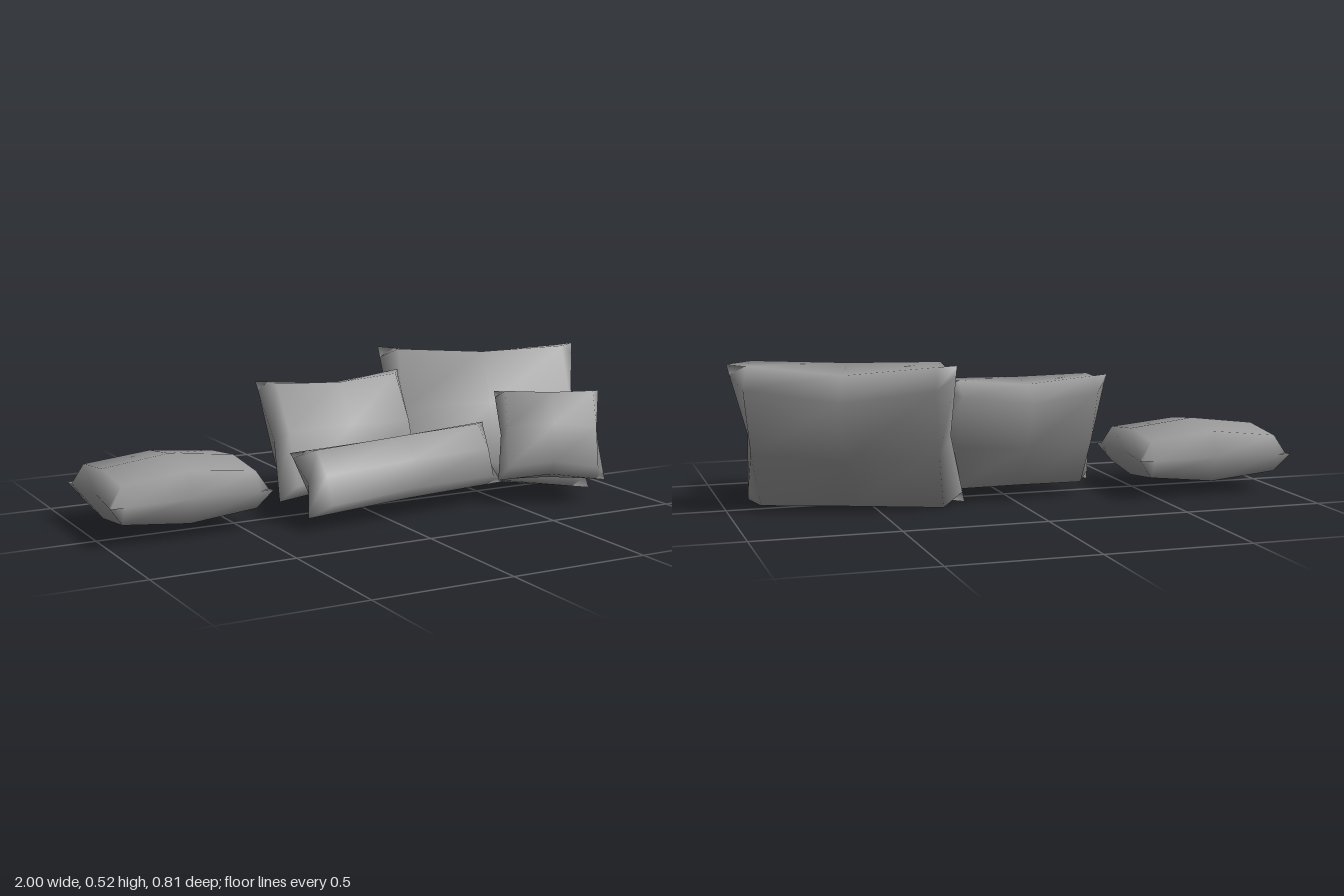
import * as THREE from 'three';
import { mergeGeometries, mergeVertices } from 'three/addons/utils/BufferGeometryUtils.js';

// One face of a pillow: a 4 x 4 grid, puffed in the middle, its seam drawn in
// between the corners (pinch: how far the long edges draw in)
function pillowFace(halfW, halfH, puff, pinch, flip) {
  const face = new THREE.PlaneGeometry(2, 2, 4, 4);
  const pos = face.attributes.position;
  for (let i = 0; i < pos.count; i++) {
    const u = Math.round(pos.getX(i) * 2); // -2..2
    const v = Math.round(pos.getY(i) * 2);
    const au = Math.abs(u), av = Math.abs(v);
    let x = [0, 0.83, 1][au];
    let y = [0, 0.85, 1][av];
    // the seam runs straight from each corner to the middle of the edge
    if (au === 2) x -= 0.09 * [1, 0.15, 0][av];
    if (av === 2) y -= pinch * [1, 0.17, 0][au];
    if (av === 1 && au === 0) y -= pinch * 0.67;
    let z = 0;
    if (au < 2 && av < 2) z = au && av ? 0.57 : au ? 0.75 : av ? 0.79 : 1;
    pos.setXYZ(i, flip * Math.sign(u) * x * halfW, Math.sign(v) * y * halfH, flip * z * puff);
  }
  face.deleteAttribute('uv');
  face.deleteAttribute('normal');
  return face;
}

// Front and back faces welded at the seam
function pillowGeometry(halfW, halfH, puff, pinch) {
  const faces = [1, -1].map((flip) => pillowFace(halfW, halfH, puff, pinch, flip));
  const geometry = mergeVertices(mergeGeometries(faces));
  geometry.computeVertexNormals();
  return geometry;
}

export function createModel() {
  const group = new THREE.Group();
  const material = new THREE.MeshStandardMaterial({ color: 0x999999 });

  // size: half width, half height, half thickness, pinch; turn: lean back, yaw, roll
  const pillows = [
    { name: 'flatPillow', size: [0.29, 0.225, 0.115, 0.045], at: [-0.71, 0.146, -0.065], turn: [Math.PI / 2, 0, 0] },
    { name: 'backMiddlePillow', size: [0.295, 0.225, 0.115, 0.14], at: [-0.015, 0.252, -0.125], turn: [0.45, 0, 0] },
    { name: 'largeBackPillow', size: [0.385, 0.296, 0.147, 0.15], at: [0.59, 0.263, -0.108], turn: [0.517, -0.359, 0] },
    { name: 'longFrontPillow', size: [0.42, 0.118, 0.102, 0.045], at: [0.085, 0.164, 0.138], turn: [0.48, 0.085, 0.025] },
    { name: 'smallFrontPillow', size: [0.195, 0.175, 0.115, 0.13], at: [0.677, 0.24, 0.21], turn: [0.54, -0.46, 0] },
  ];

  for (const { name, size, at, turn } of pillows) {
    const pillow = new THREE.Mesh(pillowGeometry(...size), material);
    pillow.name = name;
    pillow.position.set(...at);
    pillow.rotation.set(-turn[0], turn[1], turn[2], 'YXZ');
    group.add(pillow);
  }
  return group;
}
